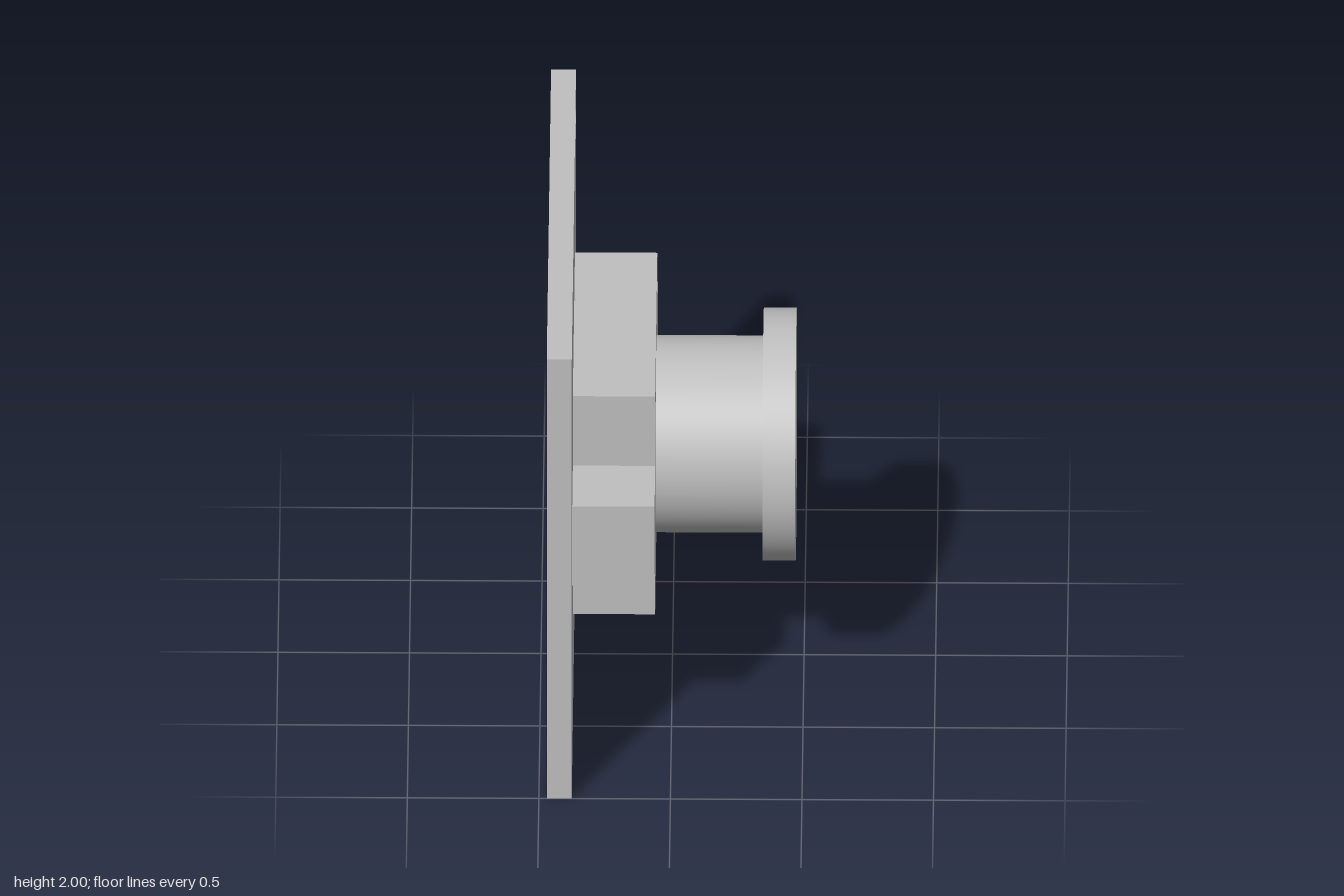
import * as THREE from 'three';

const CENTER_Y = 1.004; // height of the block and knob axis

export function createModel() {
  const group = new THREE.Group();
  group.name = 'mountedKnob';
  const grey = new THREE.MeshStandardMaterial({ color: 0xc0c0c0 });
  grey.name = 'plain grey';

  const add = (name, geometry) => {
    const mesh = new THREE.Mesh(geometry, grey);
    mesh.name = name;
    group.add(mesh);
  };

  // Extrudes an outline drawn in (-z, y) along x, from x0 to x1
  const extrudeX = (shape, x0, x1) =>
    new THREE.ExtrudeGeometry(shape, { depth: x1 - x0, bevelEnabled: false, curveSegments: 32 })
      .rotateY(Math.PI / 2)
      .translate(x0, 0, 0);

  // Round part lying along x, from x0 to x1
  const cylinderX = (radius, x0, x1) =>
    new THREE.CylinderGeometry(radius, radius, x1 - x0, 96)
      .rotateZ(-Math.PI / 2)
      .translate((x0 + x1) / 2, CENTER_Y, 0);

  // Square plate with four corner holes
  const plate = new THREE.Shape([
    new THREE.Vector2(-1, 0), new THREE.Vector2(1, 0),
    new THREE.Vector2(1, 2), new THREE.Vector2(-1, 2),
  ]);
  for (const z of [-0.845, 0.845]) {
    for (const y of [0.158, 1.846]) {
      plate.holes.push(new THREE.Path().absarc(z, y, 0.07, 0, Math.PI * 2, true));
    }
  }
  add('mountingPlate', extrudeX(plate, -0.47, -0.375));

  // Cross-shaped block: a square with a lug on each side
  const half = 0.496, lugEnd = 0.777, lugHalf = 0.18;
  const cross = new THREE.Shape([
    [-half, -half], [half, -half], [half, -lugHalf], [lugEnd, -lugHalf],
    [lugEnd, lugHalf], [half, lugHalf], [half, half], [-half, half],
    [-half, lugHalf], [-lugEnd, lugHalf], [-lugEnd, -lugHalf], [-half, -lugHalf],
  ].map(([z, y]) => new THREE.Vector2(z, y + CENTER_Y)));
  add('crossBlock', extrudeX(cross, -0.375, -0.062));

  // Knob: neck and wider end disc
  add('knobNeck', cylinderX(0.375, -0.062, 0.345));
  add('knobDisc', cylinderX(0.481, 0.345, 0.47));

  return group;
}
